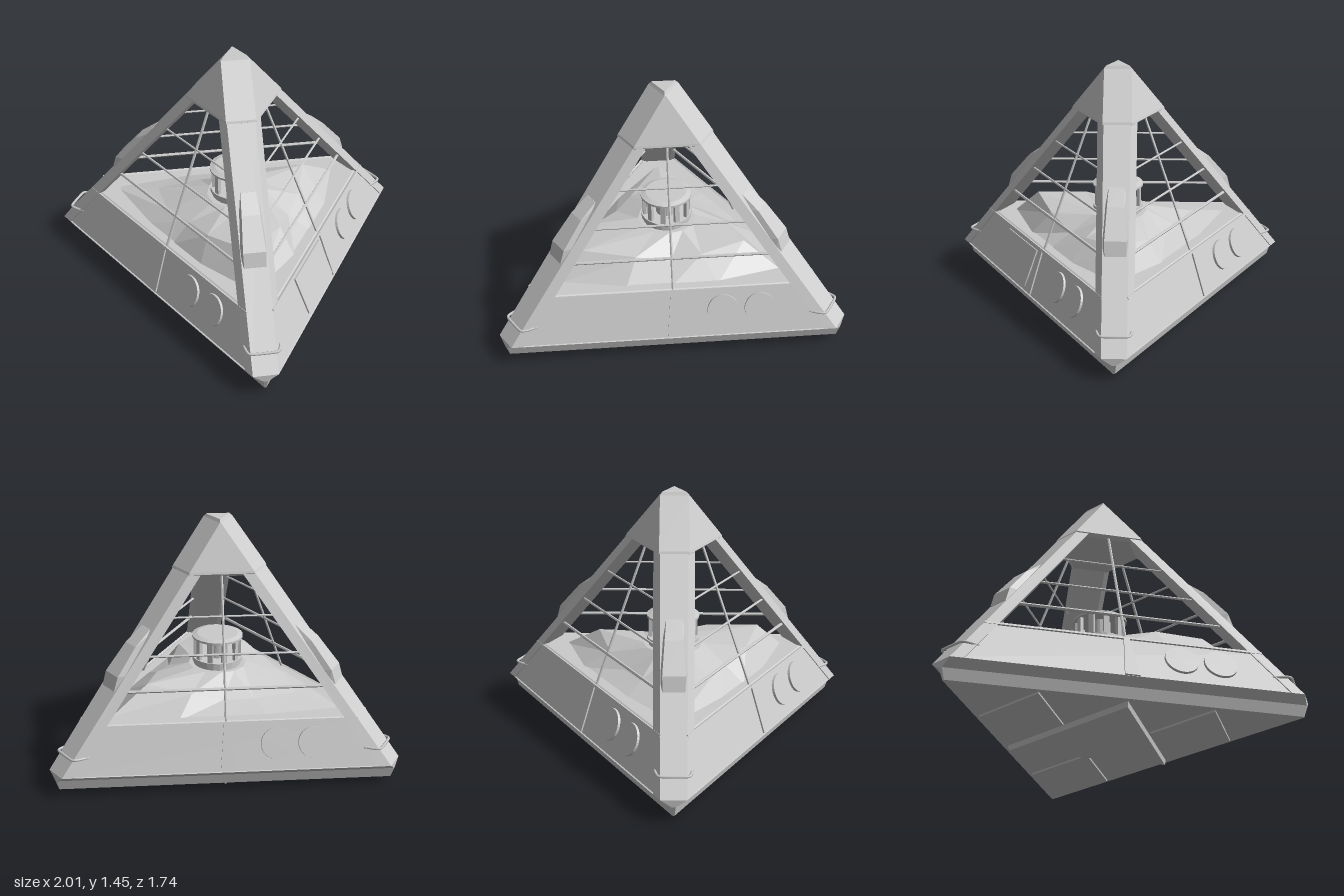
import * as THREE from 'three';

const CZ = 0.25; // z of the three-fold axis
const S60 = Math.sin(Math.PI / 3);
const TURN = (Math.PI * 2) / 3;
const TILT = Math.atan(0.4);
const sideAt = (y) => 0.62 - 0.405 * (y - 0.13); // axis to wall plane
const cornerAt = (y) => 1.12 - 0.825 * (y - 0.13); // axis to corner face
const halfEdge = (y) => (cornerAt(y) - sideAt(y) / 2) / S60;

const mat = new THREE.MeshStandardMaterial({ color: 0xcccccc, flatShading: true });
const smooth = new THREE.MeshStandardMaterial({ color: 0xcccccc });

function mesh(name, geo, parent, material = mat) {
  const m = new THREE.Mesh(geo, material);
  m.name = name;
  parent.add(m);
  return m;
}

// Closed skin over rings of [x, y, z], listed bottom to top, each anticlockwise from above
function loft(rings) {
  const pos = [];
  const tri = (a, b, c) => pos.push(...a, ...b, ...c);
  const n = rings[0].length;
  for (let k = 0; k < rings.length - 1; k++) {
    for (let i = 0; i < n; i++) {
      const j = (i + 1) % n, lo = rings[k], hi = rings[k + 1];
      tri(lo[i], lo[j], hi[j]);
      tri(lo[i], hi[j], hi[i]);
    }
  }
  const first = rings[0], last = rings[rings.length - 1];
  for (let i = 1; i < n - 1; i++) {
    tri(first[0], first[i + 1], first[i]);
    tri(last[0], last[i], last[i + 1]);
  }
  const g = new THREE.BufferGeometry();
  g.setAttribute('position', new THREE.Float32BufferAttribute(pos, 3));
  g.computeVertexNormals();
  return g;
}

// Triangle with cut corners: a = distance to sides, b = distance to corner faces
function hexRing(y, a = sideAt(y), b = cornerAt(y)) {
  const w = (b - a / 2) / S60, pts = [];
  for (let k = 0; k < 3; k++) {
    const c = Math.cos(k * TURN), s = Math.sin(k * TURN);
    for (const x of [-w, w]) pts.push([x * c + a * s, y, a * c - x * s]);
  }
  return pts;
}

function rod(name, p, q, r, parent) {
  const a = new THREE.Vector3(...p), b = new THREE.Vector3(...q);
  const m = mesh(name, new THREE.CylinderGeometry(r, r, a.distanceTo(b), 6), parent);
  m.position.copy(a).lerp(b, 0.5);
  m.quaternion.setFromUnitVectors(new THREE.Vector3(0, 1, 0), b.sub(a).normalize());
}

// Leg section facing +z
function legRing(y) {
  const b = cornerAt(y), h = (sideAt(y) - b / 2) / S60;
  const h2 = h + 0.036, r2 = b - 0.062;
  return [[-h2, y, r2], [-h, y, b], [h, y, b], [h2, y, r2], [h2 - 0.03, y, r2 - 0.02], [0.03 - h2, y, r2 - 0.02]];
}

function buildCorner(parent) {
  mesh('leg', loft([legRing(0.13), legRing(1.17)]), parent);
  // Raised armour on the leg
  const armour = [[0.57, 0.004, 0.06], [0.65, 0.045, 0.062], [0.8, 0.04, 0.05], [0.88, 0.002, 0.042]];
  mesh('legArmour', loft(armour.map(([y, out, w]) => {
    const r = cornerAt(y);
    return [[-w - 0.015, y, r - 0.03], [-w, y, r + out], [w, y, r + out], [w + 0.015, y, r - 0.03]];
  })), parent);
  // Handle bent around the leg
  const path = new THREE.CatmullRomCurve3([
    [-0.1, 0.95], [-0.092, 1.02], [-0.07, 1.055], [0.07, 1.055], [0.092, 1.02], [0.1, 0.95],
  ].map(([x, z]) => new THREE.Vector3(x, 0.23, z)), false, 'catmullrom', 0.3);
  mesh('cornerHandle', new THREE.TubeGeometry(path, 32, 0.008, 6), parent, smooth);
}

function buildSide(parent, hasDoor) {
  // Place a part on the sloping wall
  const onWall = (m, x, y, out = 0) => {
    m.position.set(x, y, sideAt(y) - 0.008 + out);
    m.rotation.x = -TILT;
  };
  for (const x of [0.283, 0.497]) {
    const disc = new THREE.CylinderGeometry(0.09, 0.092, 0.03, 32).rotateX(Math.PI / 2);
    onWall(mesh('wallDisc', disc, parent), x, 0.27);
  }
  const keel = new THREE.Shape([[-0.04, -0.135], [0.04, -0.135], [0.015, 0.135], [-0.015, 0.135]].map((p) => new THREE.Vector2(...p)));
  onWall(mesh('wallKeel', new THREE.ExtrudeGeometry(keel, { depth: 0.012, bevelEnabled: false }), parent), 0, 0.26, -0.002);
  onWall(mesh('wallLip', new THREE.BoxGeometry(1.5, 0.014, 0.02), parent), 0, 0.385);
  if (hasDoor) onWall(mesh('wallDoor', new THREE.BoxGeometry(0.39, 0.23, 0.02), parent), -0.24, 0.26);

  // Cage bars
  for (const [y, r] of [[0.56, 0.009], [0.74, 0.007], [0.94, 0.006]]) {
    const w = halfEdge(y) - 0.01, z = sideAt(y) - 0.02;
    rod('cageCrossBar', [-w, y, z], [w, y, z], r, parent);
  }
  rod('cageUpright', [0, 0.385, sideAt(0.385) - 0.02], [0, 1.17, sideAt(1.17) - 0.02], 0.008, parent);
}

function buildLamp(parent) {
  const drum = (name, r1, r2, y0, y1) => {
    mesh(name, new THREE.CylinderGeometry(r2, r1, y1 - y0, 24), parent).position.y = (y0 + y1) / 2;
  };
  drum('lampBase', 0.14, 0.14, 0.5, 0.565);
  drum('lampCollar', 0.148, 0.148, 0.565, 0.59);
  drum('lampCore', 0.06, 0.06, 0.59, 0.71);
  drum('lampRoof', 0.15, 0.15, 0.71, 0.722);
  drum('lampRoofTop', 0.148, 0.12, 0.722, 0.732);
  for (let i = 0; i < 10; i++) {
    const t = (i / 10) * Math.PI * 2;
    const post = mesh('lampPost', new THREE.BoxGeometry(0.03, 0.125, 0.02), parent);
    post.position.set(Math.sin(t) * 0.13, 0.65, Math.cos(t) * 0.13);
    post.rotation.y = t;
  }
}

// Uneven faceted mound, twelve spokes starting at +z and turning towards +x
function buildMound(parent) {
  const edge = [0.46, 0.53, 0.76, 0.53, 0.46, 0.53, 0.74, 0.53, 0.46, 0.53, 0.8, 0.53];
  const midR = [0.34, 0.42, 0.58, 0.4, 0.32, 0.36, 0.5, 0.36, 0.32, 0.36, 0.5, 0.4];
  const midY = [0.48, 0.52, 0.545, 0.52, 0.46, 0.49, 0.525, 0.48, 0.44, 0.44, 0.445, 0.46];
  const ring = (r, y) => edge.map((_, i) => {
    const t = (i * Math.PI) / 6;
    return [Math.sin(t) * r(i), y(i), Math.cos(t) * r(i)];
  });
  mesh('mound', loft([
    ring((i) => edge[i], () => 0.385),
    ring((i) => midR[i], (i) => midY[i]),
    ring(() => 0.17, () => 0.545),
  ]), parent);
}

// Inverted triangular plates under the floor, one large and three small
function buildPlates(parent) {
  const plate = (name, x, z, r, y0) => {
    const g = new THREE.CylinderGeometry(r, r * 0.98, 0.04 - y0, 3);
    mesh(name, g, parent).position.set(x, (0.04 + y0) / 2, z);
  };
  plate('floorPlateLarge', 0, 0, 0.53, 0);
  for (let k = 0; k < 3; k++) {
    const t = Math.PI / 3 + k * TURN;
    plate('floorPlateSmall', Math.sin(t) * 0.54, Math.cos(t) * 0.54, 0.265, 0.02);
  }
}

export function createModel() {
  const model = new THREE.Group();
  model.name = 'pyramidCraft';
  const body = new THREE.Group();
  body.name = 'body';
  body.position.z = CZ;
  model.add(body);

  // Hull with undercut skirt and sloping walls
  mesh('hull', loft([
    hexRing(0.03, 0.555, 1.1), hexRing(0.09, 0.57, 1.12), hexRing(0.13),
    hexRing(0.132, 0.612, 1.11), hexRing(0.385, 0.51, 0.897), hexRing(0.395, 0.495, 0.88),
  ]), body);
  // Peak cap with a thin inset foot
  mesh('peakCap', loft([
    hexRing(1.15, 0.185, 0.24), hexRing(1.168, 0.206, 0.266),
    hexRing(1.18, 0.202, 0.26), hexRing(1.435, 0.094, 0.05), hexRing(1.452, 0.076, 0.04),
  ]), body);
  buildMound(body);
  buildLamp(body);
  buildPlates(body);

  for (let k = 0; k < 3; k++) {
    const side = new THREE.Group();
    side.name = 'side';
    side.rotation.y = k * TURN;
    buildSide(side, k === 1);
    const corner = new THREE.Group();
    corner.name = 'corner';
    corner.rotation.y = Math.PI / 3 + k * TURN;
    buildCorner(corner);
    body.add(side, corner);
  }
  return model;
}
